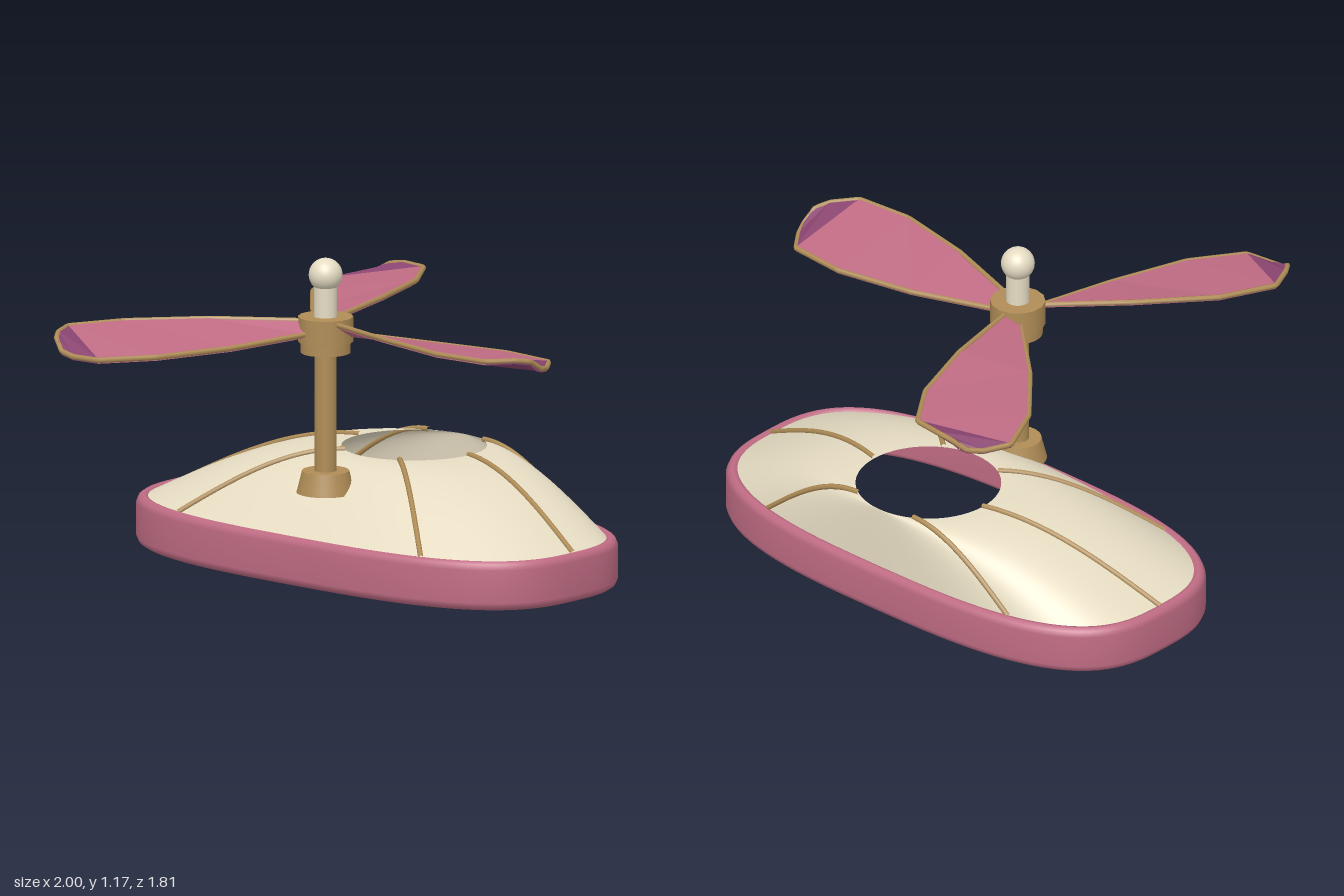
import * as THREE from 'three';
import { mergeVertices } from 'three/addons/utils/BufferGeometryUtils.js';

const mat = (color, extra = {}) => Object.assign(new THREE.MeshStandardMaterial({ color }), extra);
const pink = mat(0xc06c84);
const pinkFlat = mat(0xc06c84, { flatShading: true });
const plumFlat = mat(0x8a4570, { flatShading: true });
const gold = mat(0xb08d57);
const cream = mat(0xe6dcc3);
const creamOpen = mat(0xe6dcc3, { side: THREE.DoubleSide });

const CX = -0.02, BASE_Z = -0.285, HOLE_Z = -0.48, HOLE_R = 0.262;

function add(parent, name, geometry, material, x = 0, y = 0, z = 0) {
  const mesh = new THREE.Mesh(geometry, material);
  mesh.name = name;
  mesh.position.set(x, y, z);
  parent.add(mesh);
  return mesh;
}

// Skin rows x columns of points given by a function
function grid(rows, cols, point) {
  const pos = [], index = [];
  for (let i = 0; i <= rows; i++)
    for (let j = 0; j <= cols; j++) pos.push(...point(i, j).toArray());
  for (let i = 0; i < rows; i++)
    for (let j = 0; j < cols; j++) {
      const a = i * (cols + 1) + j, b = a + cols + 1;
      index.push(a, b, a + 1, a + 1, b, b + 1);
    }
  let g = new THREE.BufferGeometry();
  g.setAttribute('position', new THREE.Float32BufferAttribute(pos, 3));
  g.setIndex(index);
  g = mergeVertices(g, 1e-5);
  g.computeVertexNormals();
  return g;
}

// Rounded-oblong base outline, shrunk by an inset
function outline(t, inset, y) {
  const p = (v) => Math.sign(v) * Math.pow(Math.abs(v), 2 / 2.9);
  return new THREE.Vector3(
    -0.025 + (0.975 - inset) * p(Math.cos(t)), y,
    BASE_Z + (0.5 - inset) * p(Math.sin(t)));
}

// Shell surface: u = 0 at the band, u = 1 at the round opening
function shellPoint(t, u, lift = 0) {
  const base = outline(t, 0.035, 0);
  const hole = new THREE.Vector3(CX + HOLE_R * Math.cos(t), 0, HOLE_Z + HOLE_R * Math.sin(t));
  const p = base.lerp(hole, u);
  p.y = 0.17 + 0.235 * Math.sin(u * Math.PI / 2) + lift;
  return p;
}

// Blade stations: distance from the hub axis and half width
const STATIONS = [[0.06, 0.025], [0.1, 0.035], [0.4, 0.13], [0.7, 0.19],
  [0.92, 0.172], [0.985, 0.085], [1.01, 0.03], [1.011, 0.001]];

// Twisted blade: the +z edge rides high, the -z edge low
function bladePoint([x, w], side, dy) {
  const y = 0.917 + 0.028 * side * Math.min(1, w / 0.085 + 0.3);
  return new THREE.Vector3(x, y + dy, side * w);
}

function bladeSection(stations) {
  const corners = [[1, 0.009], [-1, 0.009], [-1, -0.009], [1, -0.009], [1, 0.009]];
  return grid(stations.length - 1, 4, (i, j) => bladePoint(stations[i], ...corners[j]));
}

function makeBlade() {
  const blade = new THREE.Group();
  blade.name = 'blade';
  add(blade, 'bladeBody', bladeSection(STATIONS.slice(0, 5)), pinkFlat);
  add(blade, 'bladeTip', bladeSection(STATIONS.slice(4)), plumFlat);
  const edge = STATIONS.slice(0, 7);
  const loop = [...edge.map((s) => bladePoint(s, 1, 0.004)),
    ...edge.slice().reverse().map((s) => bladePoint(s, -1, 0.004))];
  const path = new THREE.CatmullRomCurve3(loop, true, 'catmullrom', 0);
  add(blade, 'bladeTrim', new THREE.TubeGeometry(path, 140, 0.01, 6, true), gold);
  return blade;
}

export function createModel() {
  const model = new THREE.Group();
  model.name = 'rotorCanopy';
  const turn = (j, n) => (j % n) / n * Math.PI * 2;

  // Hollow band around the bottom: [inset, height]
  const band = [[0, 0.03], [0, 0.15], [0.008, 0.17], [0.022, 0.18], [0.038, 0.175], [0.045, 0.16],
    [0.045, 0.02], [0.038, 0.005], [0.022, 0], [0.008, 0.01], [0, 0.03]];
  add(model, 'baseBand', grid(band.length - 1, 96, (i, j) => outline(turn(j, 96), ...band[i])), pink);

  // Domed shell with an open round hole toward the back
  add(model, 'shell', grid(20, 96, (i, j) => shellPoint(turn(j, 96), i / 20)), creamOpen);

  // Six ribs running from the band to the opening
  for (let k = 0; k < 6; k++) {
    const pts = [];
    for (let i = 0; i <= 12; i++) pts.push(shellPoint(k * Math.PI / 3, i / 12, 0.004));
    add(model, 'rib', new THREE.TubeGeometry(new THREE.CatmullRomCurve3(pts), 32, 0.01, 6), gold);
  }

  // Mast: socket, pole, collar, hub, pin and ball
  const cyl = (name, rTop, rBottom, y0, y1, material, sides = 32) =>
    add(model, name, new THREE.CylinderGeometry(rTop, rBottom, y1 - y0, sides), material, CX, (y0 + y1) / 2, 0);
  cyl('mastSocket', 0.085, 0.105, 0.31, 0.39, gold);
  cyl('mastPole', 0.04, 0.04, 0.35, 0.85, gold);
  cyl('hubCollar', 0.09, 0.09, 0.825, 0.87, gold);
  cyl('hub', 0.1, 0.1, 0.865, 0.957, gold, 14);
  cyl('topPin', 0.042, 0.042, 0.95, 1.09, cream);
  add(model, 'topBall', new THREE.SphereGeometry(0.061, 32, 20), cream, CX, 1.11, 0);

  // Three-bladed rotor
  for (let k = 0; k < 3; k++) {
    const blade = makeBlade();
    blade.position.x = CX;
    blade.rotation.y = k * Math.PI * 2 / 3;
    model.add(blade);
  }
  return model;
}
